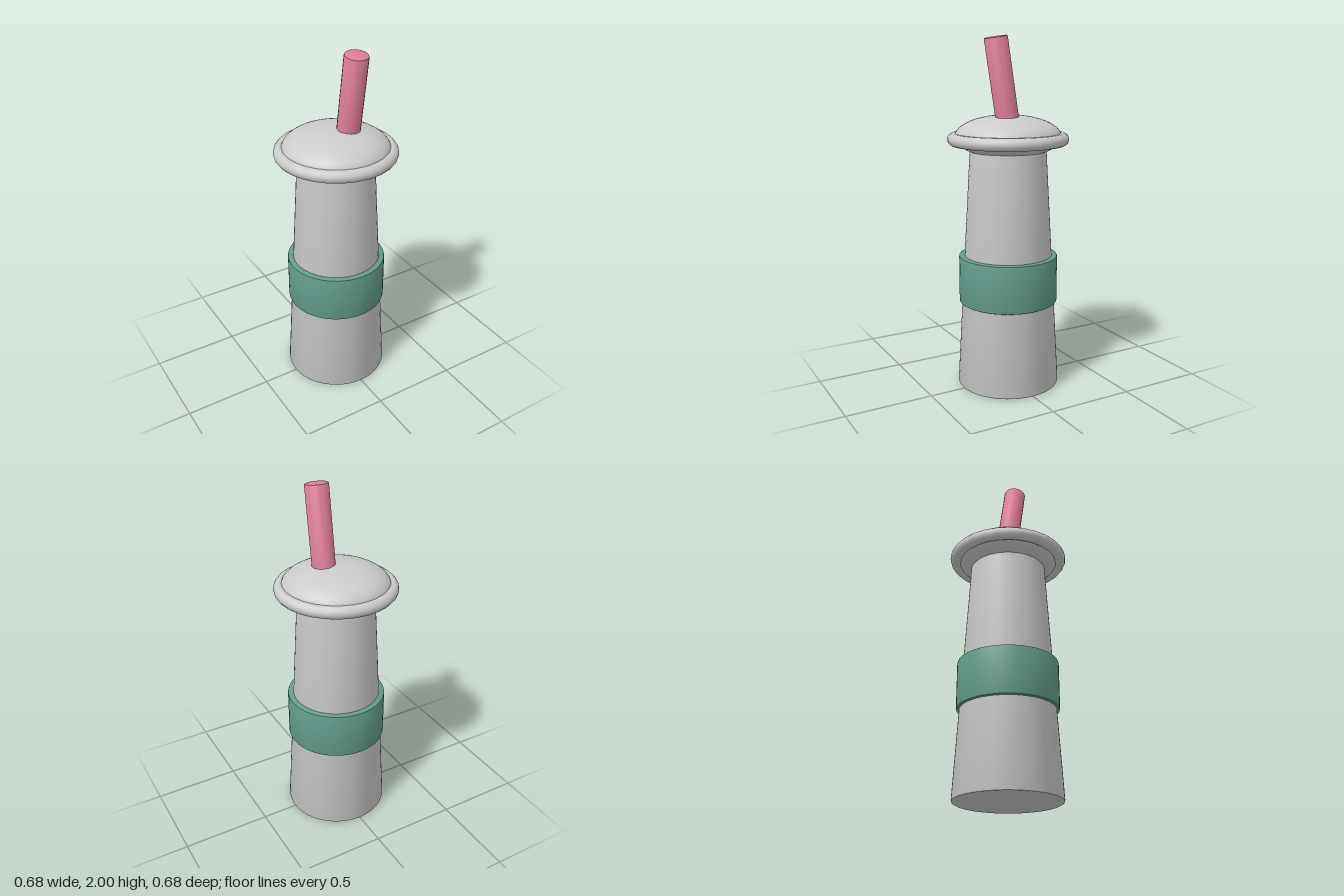
import * as THREE from 'three';
import { toCreasedNormals } from 'three/addons/utils/BufferGeometryUtils.js';

const material = (color) => new THREE.MeshStandardMaterial({ color });

function part(name, geometry, mat) {
  const mesh = new THREE.Mesh(geometry, mat);
  mesh.name = name;
  return mesh;
}

// Turned solid from [radius, height] pairs, bottom to top
function turned(profile, sides) {
  const points = profile.map(([r, y]) => new THREE.Vector2(r, y));
  return toCreasedNormals(new THREE.LatheGeometry(points, sides), Math.PI / 6);
}

export function createModel() {
  const model = new THREE.Group();
  const grey = material(0xcccccc);
  const green = material(0x639c8c);
  const pink = material(0xdf7d96);

  // Tapered cup with a slightly softened foot
  model.add(part('cup', turned([
    [0, 0], [0.288, 0], [0.293, 0.003], [0.295, 0.01], [0.215, 1.39], [0, 1.39],
  ], 48), grey));

  // Sleeve around the cup, rounded at both edges
  model.add(part('sleeve', turned([
    [0.255, 0.495], [0.275, 0.495], [0.281, 0.498], [0.283, 0.505],
    [0.283, 0.76], [0.281, 0.767], [0.275, 0.77], [0.24, 0.77], [0.255, 0.495],
  ], 48), green));

  // Domed lid, a flattened sphere
  const lid = part('lid', new THREE.SphereGeometry(0.3, 48, 24), grey);
  lid.scale.y = 0.4;
  lid.position.y = 1.45;
  model.add(lid);

  // Rolled rim of the lid
  const rim = part('lidRim', new THREE.TorusGeometry(0.307, 0.035, 14, 28), grey);
  rim.rotation.x = Math.PI / 2;
  rim.position.y = 1.435;
  model.add(rim);

  // Straw leaning forward, placed by the centre of its top
  const straw = part('straw', turned([
    [0, -0.55], [0.065, -0.55], [0.065, -0.007], [0.063, -0.002], [0.059, 0], [0, 0],
  ], 20), pink);
  straw.rotation.x = 0.16;
  straw.position.set(0.055, 1.99, 0.107);
  model.add(straw);

  return model;
}
